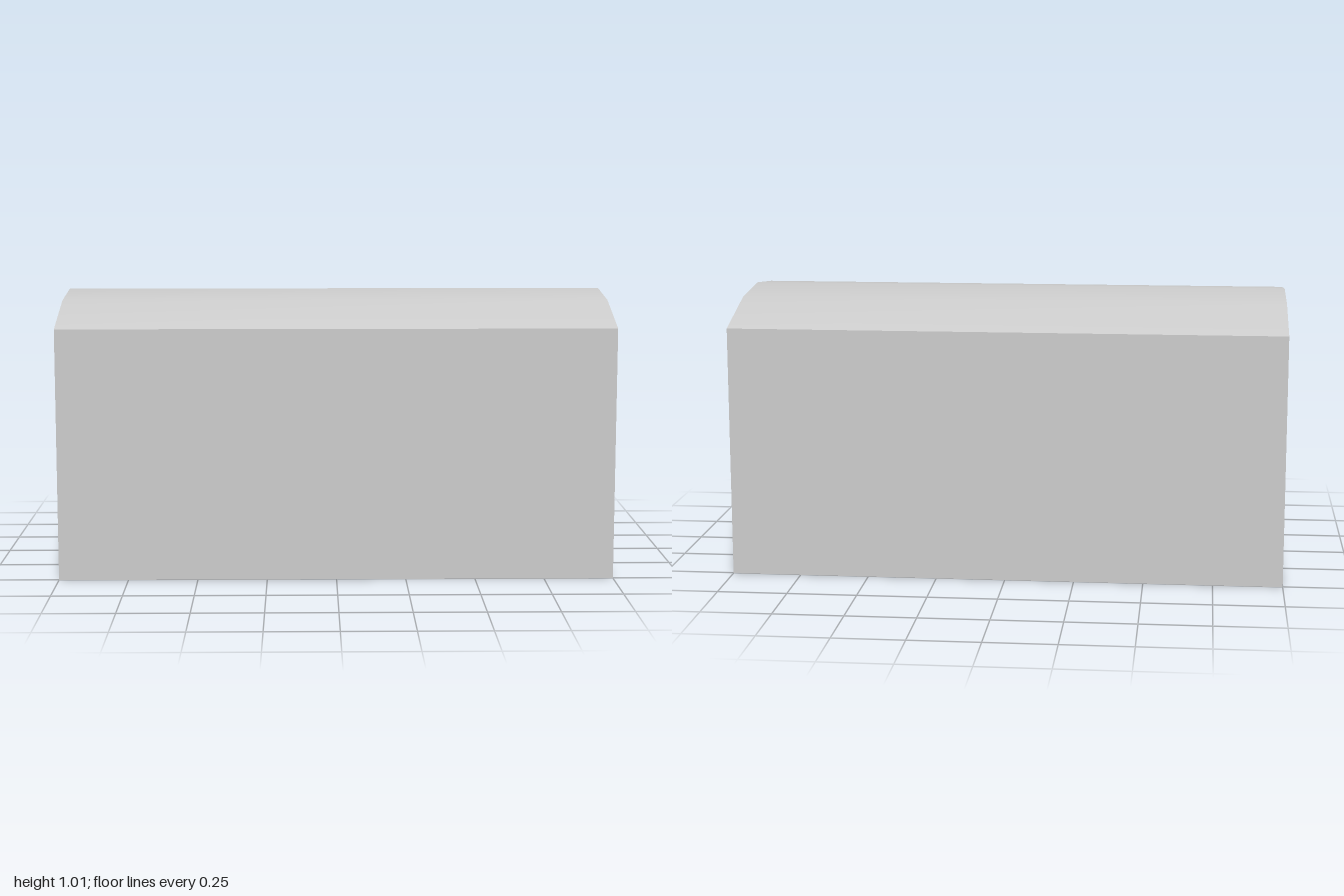
import * as THREE from 'three';
import { toCreasedNormals } from 'three/addons/utils/BufferGeometryUtils.js';

const LENGTH = 2, HALF_DEPTH = 0.505, SEAM = 0.765;

export function createModel() {
  const chest = new THREE.Group();
  chest.name = 'chest';
  const material = new THREE.MeshStandardMaterial({ color: 0xcccccc });

  // Plain box body
  const body = new THREE.Mesh(new THREE.BoxGeometry(LENGTH, SEAM, HALF_DEPTH * 2), material);
  body.name = 'body';
  body.position.y = SEAM / 2;
  chest.add(body);

  // Lid: upright rim with a shallow arched top, run along the length
  const arch = [[HALF_DEPTH, 0.907], [0.24, 0.986], [0, 1.01], [-0.24, 0.986], [-HALF_DEPTH, 0.907]];
  const profile = new THREE.Shape(
    [[-HALF_DEPTH, SEAM], [HALF_DEPTH, SEAM], ...arch].map(([z, y]) => new THREE.Vector2(z, y))
  );
  const lidGeometry = new THREE.ExtrudeGeometry(profile, { depth: LENGTH, bevelEnabled: false });
  lidGeometry.translate(0, 0, -LENGTH / 2).rotateY(Math.PI / 2);

  // Smooth across the arch, sharp at the rim and ends
  const lid = new THREE.Mesh(toCreasedNormals(lidGeometry, 0.6), material);
  lid.name = 'lid';
  chest.add(lid);

  return chest;
}
